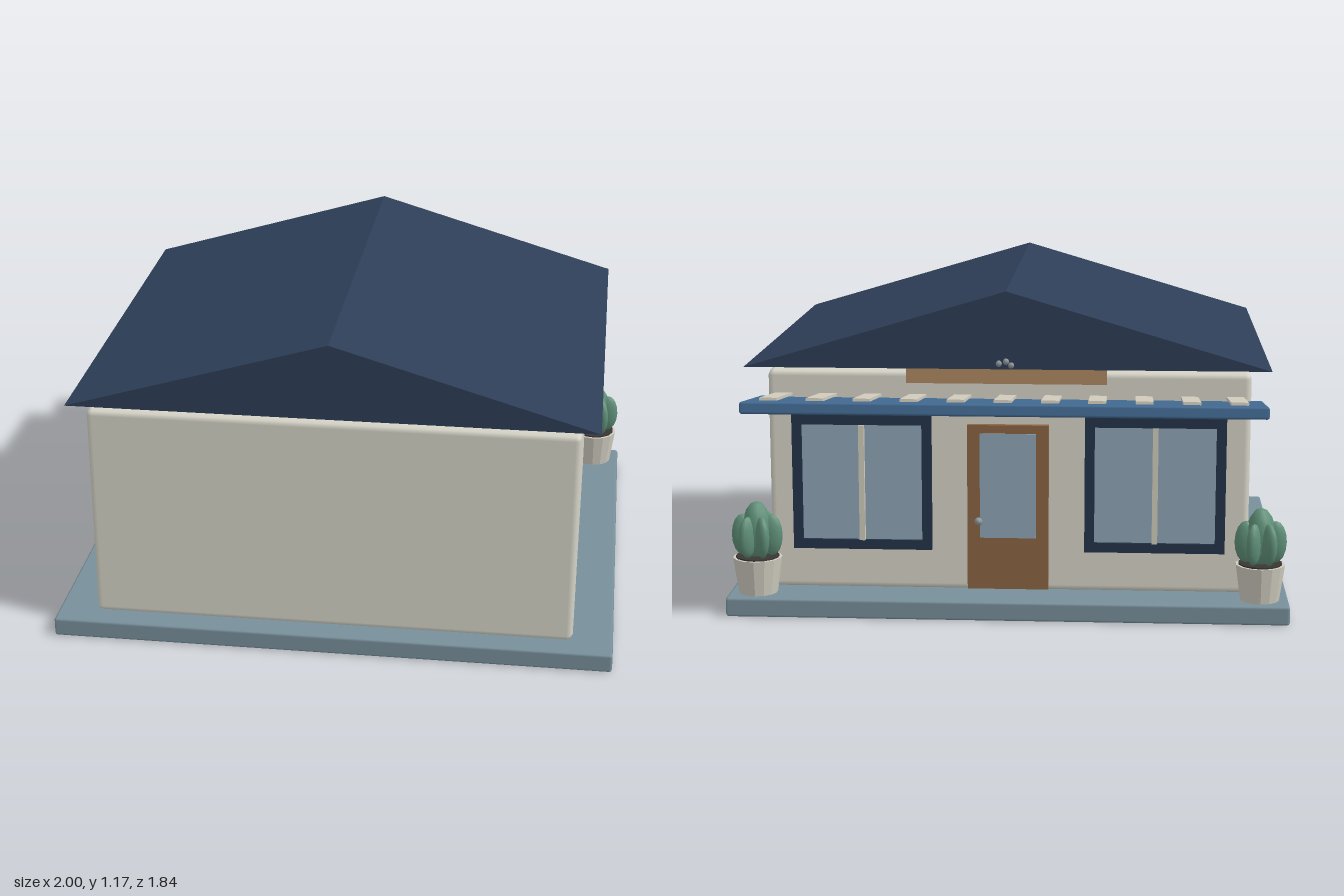
import * as THREE from 'three';
import { RoundedBoxGeometry } from 'three/addons/geometries/RoundedBoxGeometry.js';

const paint = (color, flatShading = false) => new THREE.MeshStandardMaterial({ color, flatShading });
const M = {
  base: paint(0x78909c), wall: paint(0xd7d5c8), roof: paint(0x2d3e57, true),
  awning: paint(0x426a92), cream: paint(0xd2cdbd), frame: paint(0x24344a),
  glass: paint(0x8fa5b8), door: paint(0x8b6542), sign: paint(0xb08a62),
  cactus: paint(0x5f9078), pot: paint(0xd0cdc0, true), soil: paint(0x3a3633), metal: paint(0x8d9499),
};

function add(parent, name, geometry, material, x = 0, y = 0, z = 0) {
  const mesh = new THREE.Mesh(geometry, material);
  mesh.name = name;
  mesh.position.set(x, y, z);
  parent.add(mesh);
  return mesh;
}
const box = (w, h, d) => new THREE.BoxGeometry(w, h, d);
const bevelBox = (w, h, d, r) => new RoundedBoxGeometry(w, h, d, 1, r);

function group(parent, name, x = 0, y = 0, z = 0) {
  const g = new THREE.Group();
  g.name = name;
  g.position.set(x, y, z);
  parent.add(g);
  return g;
}

// Solid triangular prism, ridge running along z
function roofGeometry(halfWidth, height, depth) {
  const s = new THREE.Shape();
  s.moveTo(-halfWidth, 0);
  s.lineTo(halfWidth, 0);
  s.lineTo(0, height);
  s.closePath();
  return new THREE.ExtrudeGeometry(s, { depth, bevelEnabled: false });
}

// Framed pane with a central mullion, facing -z
function addWindow(parent, name, x) {
  const g = group(parent, name, x, 0.465, -0.6);
  const w = 0.5, h = 0.49, t = 0.035;
  for (const s of [-1, 1]) {
    add(g, 'frameSide', box(t, h, 0.04), M.frame, s * (w - t) / 2, 0, 0);
    add(g, 'frameRail', box(w, t, 0.04), M.frame, 0, s * (h - t) / 2, 0);
  }
  add(g, 'glass', box(w - t, h - t, 0.02), M.glass);
  add(g, 'mullion', box(0.02, h - 2 * t, 0.05), M.cream, 0, 0, -0.005);
}

// Ribbed cactus in a tapered pot
function addPlant(parent, name, x) {
  const g = group(parent, name, x, 0.07, -0.665);
  add(g, 'pot', new THREE.CylinderGeometry(0.088, 0.07, 0.13, 14), M.pot, 0, 0.065, 0);
  add(g, 'soil', new THREE.CylinderGeometry(0.078, 0.078, 0.01, 14), M.soil, 0, 0.13, 0);
  const ball = new THREE.SphereGeometry(1, 10, 8);
  add(g, 'cactusCore', ball, M.cactus, 0, 0.225, 0).scale.set(0.054, 0.108, 0.054);
  for (let i = 0; i < 6; i++) {
    const a = i * Math.PI / 3;
    const rib = add(g, 'cactusRib', ball, M.cactus, 0.052 * Math.cos(a), 0.21, 0.052 * Math.sin(a));
    rib.scale.set(0.04, 0.076, 0.024);
    rib.rotation.y = -a;
  }
}

export function createModel() {
  const model = new THREE.Group();
  model.name = 'smallShop';

  // Ground slab and walls
  add(model, 'baseSlab', bevelBox(2, 0.07, 1.68, 0.01), M.base, 0, 0.035, 0.08);
  add(model, 'walls', bevelBox(1.715, 0.8, 1.447, 0.022), M.wall, 0, 0.47, 0.1225);

  // Roof
  add(model, 'roof', roofGeometry(0.92, 0.272, 1.6), M.roof, 0, 0.898, -0.72);

  // Sign board under the gable with a small ornament
  add(model, 'signBoard', box(0.7, 0.15, 0.032), M.sign, 0, 0.92, -0.695);
  const knob = new THREE.SphereGeometry(0.012, 8, 6);
  for (const [x, y] of [[0, 0.925], [-0.018, 0.912], [0.025, 0.918]])
    add(model, 'signOrnament', knob, M.metal, x, y, -0.717);

  // Awning slab, raised at its outer edge, with cream slats on top
  const awning = group(model, 'awning', 0, 0.767, -0.735);
  awning.rotation.x = 0.125;
  add(awning, 'awningSlab', bevelBox(1.8, 0.042, 0.37, 0.008), M.awning);
  for (let i = -5; i <= 5; i++)
    add(awning, 'awningStripe', box(0.06, 0.01, 0.32), M.cream, i * 0.16, 0.031, -0.026);

  // Windows and potted plants
  for (const [side, s] of [['left', 1], ['right', -1]]) {
    addWindow(model, side + 'Window', s * 0.523);
    addPlant(model, side + 'Plant', s * 0.897);
  }

  // Door with a glazed upper part
  const door = group(model, 'door', 0, 0.38, -0.605);
  add(door, 'doorPanel', box(0.29, 0.6, 0.035), M.door);
  add(door, 'doorGlass', box(0.2, 0.38, 0.01), M.glass, 0, 0.08, -0.017);
  add(door, 'doorKnob', new THREE.SphereGeometry(0.015, 10, 8), M.metal, 0.105, -0.05, -0.025);

  return model;
}
